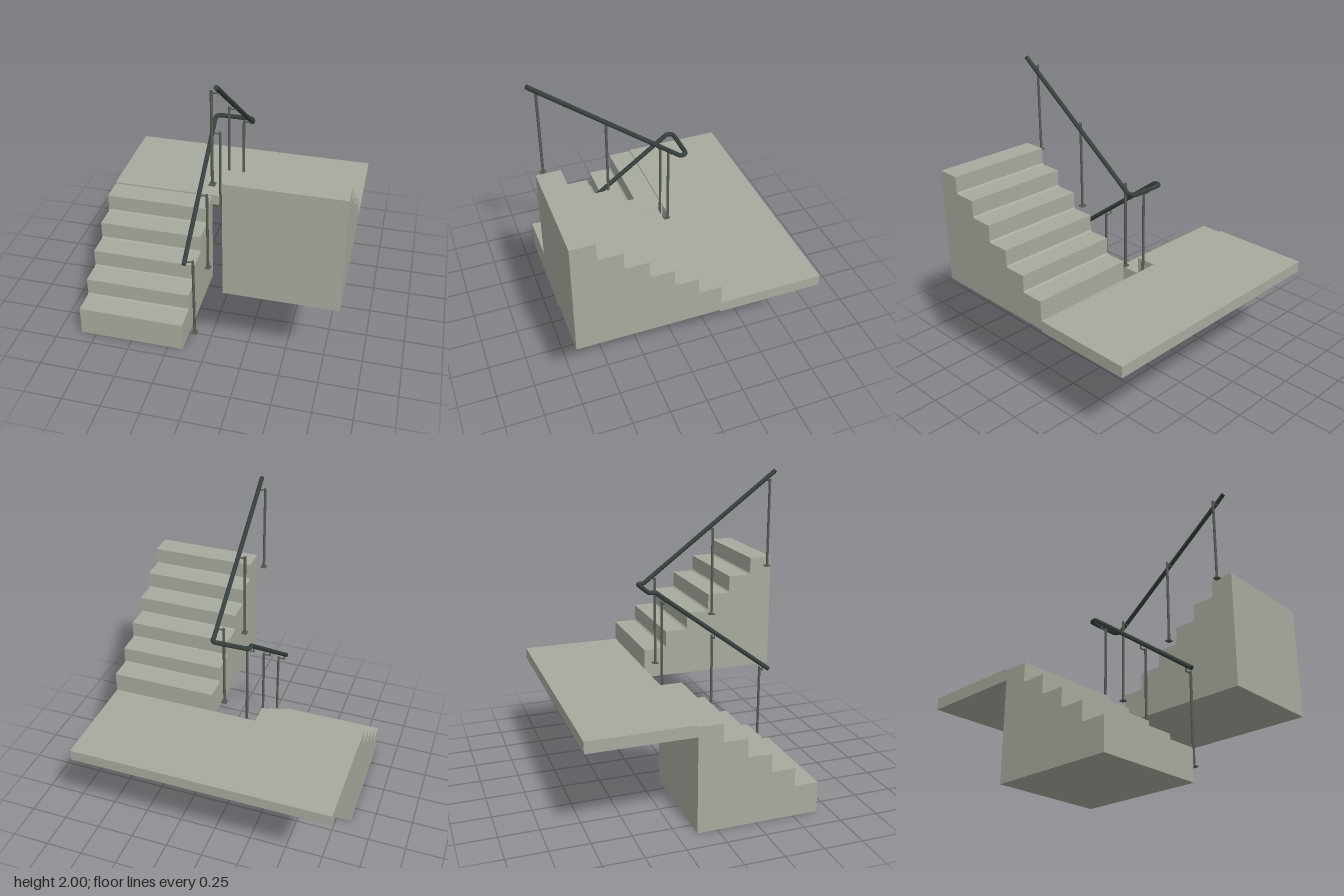
import * as THREE from 'three';

const concrete = new THREE.MeshStandardMaterial({ color: 0xa6ab9e });
concrete.name = 'concrete';
const railPaint = new THREE.MeshStandardMaterial({ color: 0x36403d });
railPaint.name = 'dark rail paint';
const postMetal = new THREE.MeshStandardMaterial({ color: 0x565e53 });
postMetal.name = 'post metal';

function add(parent, name, geometry, material, x = 0, y = 0, z = 0) {
  const mesh = new THREE.Mesh(geometry, material);
  mesh.name = name;
  mesh.position.set(x, y, z);
  parent.add(mesh);
  return mesh;
}

// Solid flight from a side profile; fronts lists the step edges from low to high.
// dir is the z direction in which the flight climbs.
function flight(base, firstTop, rise, fronts, dir, x0, width) {
  const c = 0.01; // small chamfer filling each inner corner
  const pts = [[fronts[0], base], [fronts[0], firstTop]];
  for (let i = 1; i < fronts.length - 1; i++) {
    const y = firstTop + rise * (i - 1);
    pts.push([fronts[i] - dir * c, y], [fronts[i], y + c], [fronts[i], y + rise]);
  }
  const last = fronts[fronts.length - 1];
  pts.push([last, firstTop + rise * (fronts.length - 2)], [last, base]);
  // Profile x is -z, so a quarter turn sets the extrusion along +x.
  const shape = new THREE.Shape(pts.map(([z, y]) => new THREE.Vector2(-z, y)));
  const geo = new THREE.ExtrudeGeometry(shape, { depth: width, bevelEnabled: false });
  geo.rotateY(Math.PI / 2);
  geo.translate(x0, 0, 0);
  return geo;
}

// Handrail centre line with rounded corners at the turn.
function railPath() {
  const v = (x, y, z) => new THREE.Vector3(x, y, z);
  const pts = [
    v(-0.125, 0.695, 0.66), v(-0.125, 1.293, -0.138),
    v(-0.125, 1.295, -0.182), v(0.122, 1.295, -0.182),
    v(0.122, 1.295, -0.138), v(0.122, 1.985, 0.782)
  ];
  const radii = [0, 0.008, 0.034, 0.034, 0.008, 0];
  const path = new THREE.CurvePath();
  let from = pts[0];
  for (let i = 1; i < pts.length - 1; i++) {
    const p = pts[i];
    const a = p.clone().add(pts[i - 1].clone().sub(p).setLength(radii[i]));
    const b = p.clone().add(pts[i + 1].clone().sub(p).setLength(radii[i]));
    path.add(new THREE.LineCurve3(from, a));
    path.add(new THREE.QuadraticBezierCurve3(a, p, b));
    from = b;
  }
  path.add(new THREE.LineCurve3(from, pts[pts.length - 1]));
  return path;
}

export function createModel() {
  const model = new THREE.Group();
  model.name = 'staircase';

  // Concrete body
  add(model, 'lowerFlight',
    flight(0, 0.2, 0.121, [0.665, 0.506, 0.347, 0.189, 0.03, -0.127], -1, -0.85, 0.7), concrete);
  add(model, 'upperFlight',
    flight(0.633, 0.828, 0.1145, [-0.127, 0.025, 0.177, 0.329, 0.481, 0.633, 0.785], 1, 0.15, 0.7), concrete);
  add(model, 'landing', new THREE.BoxGeometry(1.7, 0.075, 0.672), concrete, 0, 0.6575, -0.463);

  // Handrail with closed ends
  const r = 0.0145;
  const path = railPath();
  add(model, 'handrail', new THREE.TubeGeometry(path, 400, r, 12), railPaint);
  for (const t of [0, 1]) {
    const p = path.getPointAt(t);
    const cap = add(model, 'handrailEnd', new THREE.CircleGeometry(r, 12), railPaint, p.x, p.y, p.z);
    const out = path.getTangentAt(t).multiplyScalar(t ? 1 : -1);
    cap.quaternion.setFromUnitVectors(new THREE.Vector3(0, 0, 1), out);
  }

  // Posts: [side, z, foot height]
  const h = 0.58;
  const posts = [
    [-1, 0.615, 0.12], [-1, 0.265, 0.383], [-1, -0.082, 0.644],
    [1, 0.725, 1.356], [1, 0.325, 1.056], [1, -0.075, 0.756]
  ];
  for (const [side, z, foot] of posts) {
    const post = new THREE.Group();
    post.name = 'railPost';
    post.position.set(side * 0.08, foot, z);
    model.add(post);
    add(post, 'basePlate', new THREE.BoxGeometry(0.036, 0.008, 0.036), postMetal);
    add(post, 'upright', new THREE.CylinderGeometry(0.0085, 0.0085, h, 10), postMetal, 0, h / 2, 0);
    const arm = add(post, 'arm', new THREE.CylinderGeometry(0.005, 0.005, 0.046, 8), postMetal,
      side * 0.021, h - 0.012, 0);
    arm.rotation.z = Math.PI / 2;
    add(post, 'bracketStem', new THREE.CylinderGeometry(0.005, 0.005, 0.026, 8), postMetal,
      side * 0.043, h - 0.002, 0);
  }
  return model;
}
